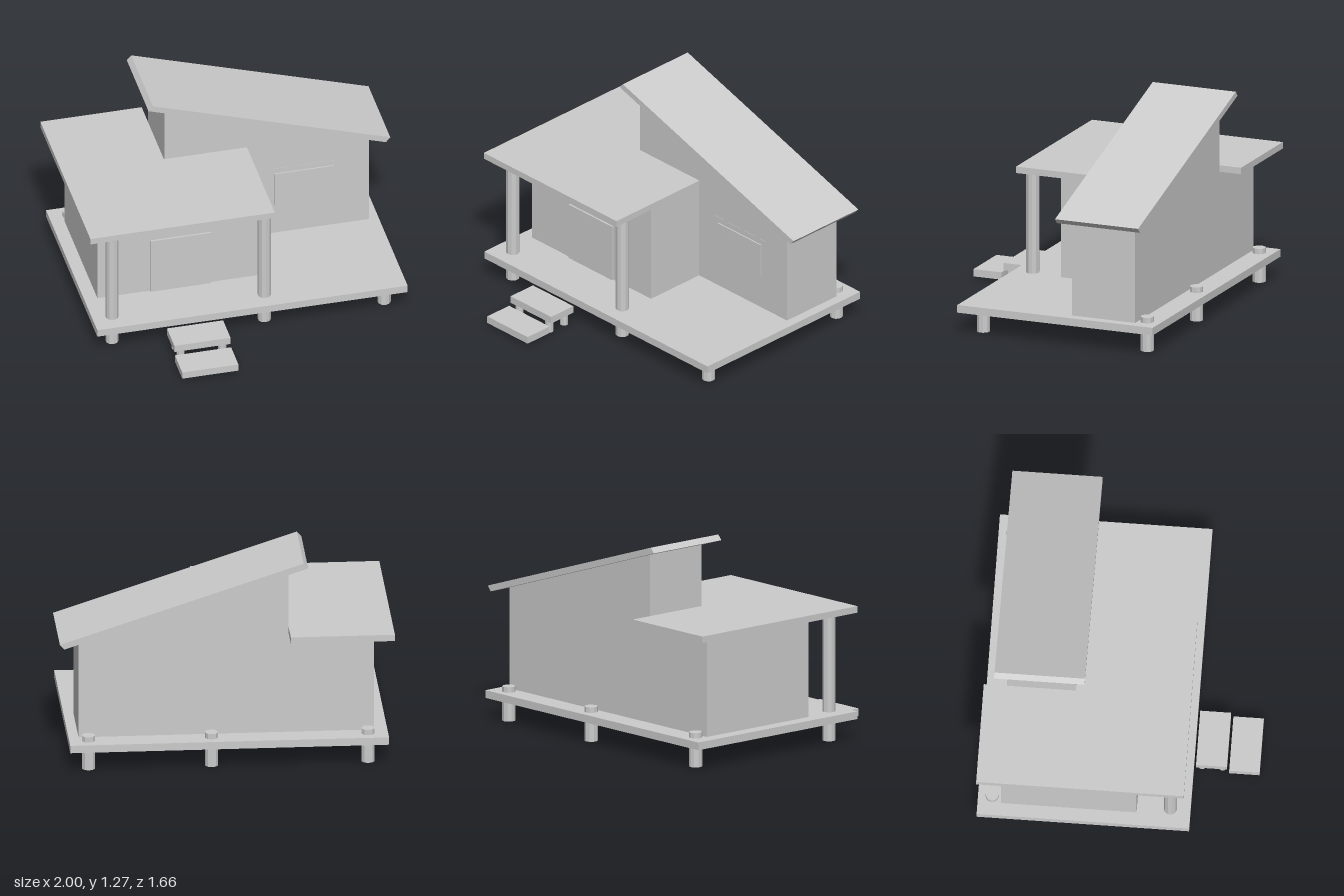
import * as THREE from 'three';

export function createModel() {
  const model = new THREE.Group();
  const grey = new THREE.MeshStandardMaterial({ color: 0xcccccc, flatShading: true });

  const add = (name, geometry, parent = model) => {
    const mesh = new THREE.Mesh(geometry, grey);
    mesh.name = name;
    parent.add(mesh);
    return mesh;
  };
  // Box given by its extents
  const box = (name, x0, x1, y0, y1, z0, z1, parent) =>
    add(name, new THREE.BoxGeometry(x1 - x0, y1 - y0, z1 - z0), parent)
      .position.set((x0 + x1) / 2, (y0 + y1) / 2, (z0 + z1) / 2);
  // Upright round post
  const post = (name, x, z, r, y0, y1, parent) =>
    add(name, new THREE.CylinderGeometry(r, r, y1 - y0, 10), parent)
      .position.set(x, (y0 + y1) / 2, z);
  // Outline extruded along z
  const prism = (points, depth) => new THREE.ExtrudeGeometry(
    new THREE.Shape(points.map(([x, y]) => new THREE.Vector2(x, y))),
    { depth, bevelEnabled: false });
  const group = (name) => {
    const g = new THREE.Group();
    g.name = name;
    model.add(g);
    return g;
  };

  // Deck
  box('deck', -0.965, 0.94, 0.13, 0.177, -0.83, 0.44);

  // Posts: front ones carry the porch roof, back ones poke through the deck
  const posts = group('posts');
  [[-0.845, 0.79], [0.09, 0.79], [0.825, 0.15]].forEach(([x, top]) => {
    post('frontPost', x, 0.32, 0.04, 0, top, posts);
    post('backPost', x, -0.745, 0.04, 0, 0.21, posts);
  });

  // Walls: front room, and the back block that rises under the sloping roof
  const walls = group('walls');
  box('frontRoom', -0.885, 0.13, 0.177, 0.79, -0.28, 0.12, walls);
  add('backRooms', prism([
    [-0.885, 0.177], [0.88, 0.177], [0.88, 0.794],
    [-0.375, 1.204], [-0.375, 0.79], [-0.885, 0.79],
  ], 0.41), walls).position.z = -0.69;

  // Flat L-shaped roof, drawn in plan and laid down
  add('flatRoof', prism([
    [-1, -0.83], [-0.378, -0.83], [-0.378, -0.28],
    [0.132, -0.28], [0.132, 0.41], [-1, 0.41],
  ], 0.04).rotateX(Math.PI / 2)).position.y = 0.83;

  // Sloping roof
  add('slopingRoof', prism([
    [-0.487, 1.241], [0.97, 0.765], [0.997, 0.796], [-0.46, 1.272],
  ], 0.54)).position.z = -0.76;

  // Door and window with thin surrounds
  box('doorFrame', -0.6, -0.15, 0.177, 0.585, 0.115, 0.1215);
  box('door', -0.56, -0.19, 0.177, 0.545, 0.115, 0.133);
  box('windowFrame', 0.26, 0.7, 0.35, 0.645, -0.285, -0.2785);
  box('window', 0.297, 0.665, 0.385, 0.61, -0.285, -0.27);

  // Steps, the upper one on four short legs
  const steps = group('steps');
  box('upperStep', -0.54, -0.195, 0.08, 0.125, 0.45, 0.635, steps);
  box('lowerStep', -0.54, -0.195, 0.02, 0.065, 0.648, 0.83, steps);
  for (const x of [-0.495, -0.24])
    for (const z of [0.484, 0.606]) post('stepLeg', x, z, 0.025, 0, 0.08, steps);

  return model;
}
